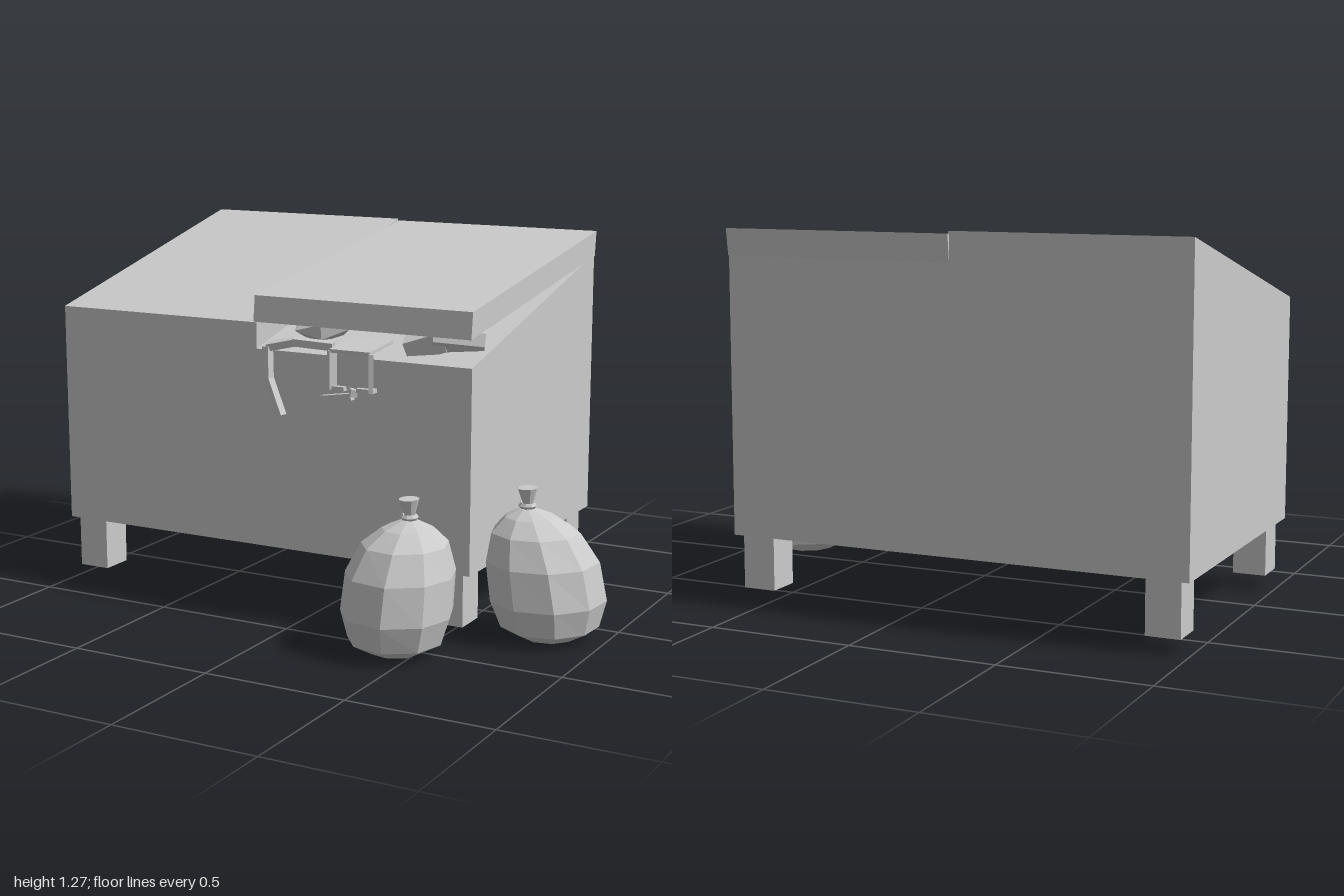
import * as THREE from 'three';

const material = new THREE.MeshStandardMaterial({ color: 0xcccccc, flatShading: true });

function add(parent, name, geometry, position = [0, 0, 0], rotation = [0, 0, 0]) {
  const mesh = new THREE.Mesh(geometry, material);
  mesh.name = name;
  mesh.position.set(...position);
  mesh.rotation.set(...rotation);
  parent.add(mesh);
  return mesh;
}

// Side outline given as [z, y], swept from x0 to x1
function sideExtrude(outline, x0, x1) {
  const shape = new THREE.Shape(outline.map(([z, y]) => new THREE.Vector2(-z, y)));
  return new THREE.ExtrudeGeometry(shape, { depth: x1 - x0, bevelEnabled: false })
    .rotateY(Math.PI / 2).translate(x0, 0, 0);
}

// Square-section strip laid along a list of points
function strip(parent, name, points, width, thickness) {
  const group = new THREE.Group();
  group.name = name;
  for (let i = 0; i < points.length - 1; i++) {
    const a = new THREE.Vector3(...points[i]);
    const b = new THREE.Vector3(...points[i + 1]);
    const piece = add(group, name + 'Piece', new THREE.BoxGeometry(width, a.distanceTo(b), thickness));
    piece.position.copy(a).add(b).multiplyScalar(0.5);
    piece.quaternion.setFromUnitVectors(new THREE.Vector3(0, 1, 0), b.sub(a).normalize());
  }
  parent.add(group);
}

// Tied bag: a faceted lathe whose upper rings lean toward the knot
function bag(parent, name, base, knot, turn, wobble) {
  const group = new THREE.Group();
  group.name = name;
  const profile = [[0, 0.008], [0.09, 0.01], [0.165, 0.05], [0.193, 0.14], [0.186, 0.27],
    [0.145, 0.365], [0.085, 0.415], [0.018, 0.445]];
  const body = new THREE.LatheGeometry(profile.map(p => new THREE.Vector2(...p)), 9);
  const pos = body.attributes.position;
  for (let i = 0; i < pos.count; i++) {
    const x = pos.getX(i), y = pos.getY(i), z = pos.getZ(i);
    const angle = Math.atan2(x, z) + turn;
    const r = Math.hypot(x, z) * (1 + 0.035 * Math.sin(2 * angle + wobble + 4 * y));
    const lean = Math.pow(y / 0.445, 2);
    pos.setXYZ(i,
      base[0] + (knot[0] - base[0]) * lean + r * Math.sin(angle), y,
      base[1] + (knot[1] - base[1]) * lean + r * Math.cos(angle));
  }
  add(group, 'bagBody', body);
  add(group, 'bagTie', new THREE.TorusGeometry(0.02, 0.011, 5, 9).rotateX(Math.PI / 2), [knot[0], 0.45, knot[1]]);
  add(group, 'bagNeck', new THREE.CylinderGeometry(0.034, 0.014, 0.066, 9), [knot[0], 0.478, knot[1]], [0.04, 0, 0.03]);
  parent.add(group);
}

export function createModel() {
  const model = new THREE.Group();
  model.name = 'dumpster';
  const split = -0.195;

  // Container: closed half with its lid, and the lower open half
  add(model, 'closedHalf', sideExtrude([[0.355, 0.24], [0.355, 1.02], [-0.69, 1.28], [-0.69, 0.24]], -1, split));
  add(model, 'openHalf', sideExtrude([[0.355, 0.24], [0.355, 0.93], [-0.69, 1.19], [-0.69, 0.24]], split, 0.61));
  add(model, 'raisedLid', sideExtrude([[0.368, 1.024], [0.357, 1.113], [-0.703, 1.272], [-0.692, 1.182]], split - 0.004, 0.612));

  // Feet
  for (const x of [-0.913, 0.523])
    for (const z of [-0.617, 0.282])
      add(model, 'foot', new THREE.BoxGeometry(0.116, 0.2, 0.12), [x, 0.158, z]);

  // Rubbish sticking out under the raised lid
  const rubbish = new THREE.Group();
  rubbish.name = 'rubbish';
  add(rubbish, 'crumpledLump', new THREE.IcosahedronGeometry(1, 0).scale(0.11, 0.05, 0.11), [-0.02, 1.0, 0.2], [0.1, 0.4, 0]);
  add(rubbish, 'brokenCarton', new THREE.BoxGeometry(0.13, 0.07, 0.2), [0.375, 0.99, 0.2], [0.2, 0.35, 0.25]);
  add(rubbish, 'canister', new THREE.CylinderGeometry(0.045, 0.045, 0.17, 6), [0.5, 0.995, 0.22], [0.2, 0.4, 1.4]);
  strip(rubbish, 'bentStrap', [[0.09, 0.957, 0.33], [-0.05, 0.965, 0.35], [-0.14, 0.945, 0.375],
    [-0.132, 0.84, 0.385], [-0.08, 0.715, 0.39]], 0.026, 0.028);

  // Folded carton hanging over the front edge
  add(rubbish, 'cartonTop', new THREE.BoxGeometry(0.15, 0.012, 0.17), [0.185, 0.962, 0.31], [0.1, 0, 0]);
  add(rubbish, 'cartonFront', new THREE.BoxGeometry(0.12, 0.13, 0.016), [0.185, 0.89, 0.364]);
  for (const s of [-1, 1]) {
    add(rubbish, 'cartonFlap', new THREE.BoxGeometry(0.016, 0.13, 0.05), [0.185 + s * 0.068, 0.888, 0.372], [0, s * 0.5, 0]);
    add(rubbish, 'cartonFold', new THREE.BoxGeometry(0.06, 0.014, 0.035), [0.185 + s * 0.053, 0.828, 0.374]);
  }
  strip(rubbish, 'hangingScrap', [[0.195, 0.83, 0.38], [0.19, 0.805, 0.382], [0.075, 0.787, 0.382]], 0.024, 0.026);
  model.add(rubbish);

  // Tied bags on the ground
  bag(model, 'frontBag', [0.425, 0.52], [0.45, 0.475], 0.2, 0.6);
  bag(model, 'sideBag', [0.81, 0.145], [0.727, 0.157], 0.5, 2.2);

  return model;
}
